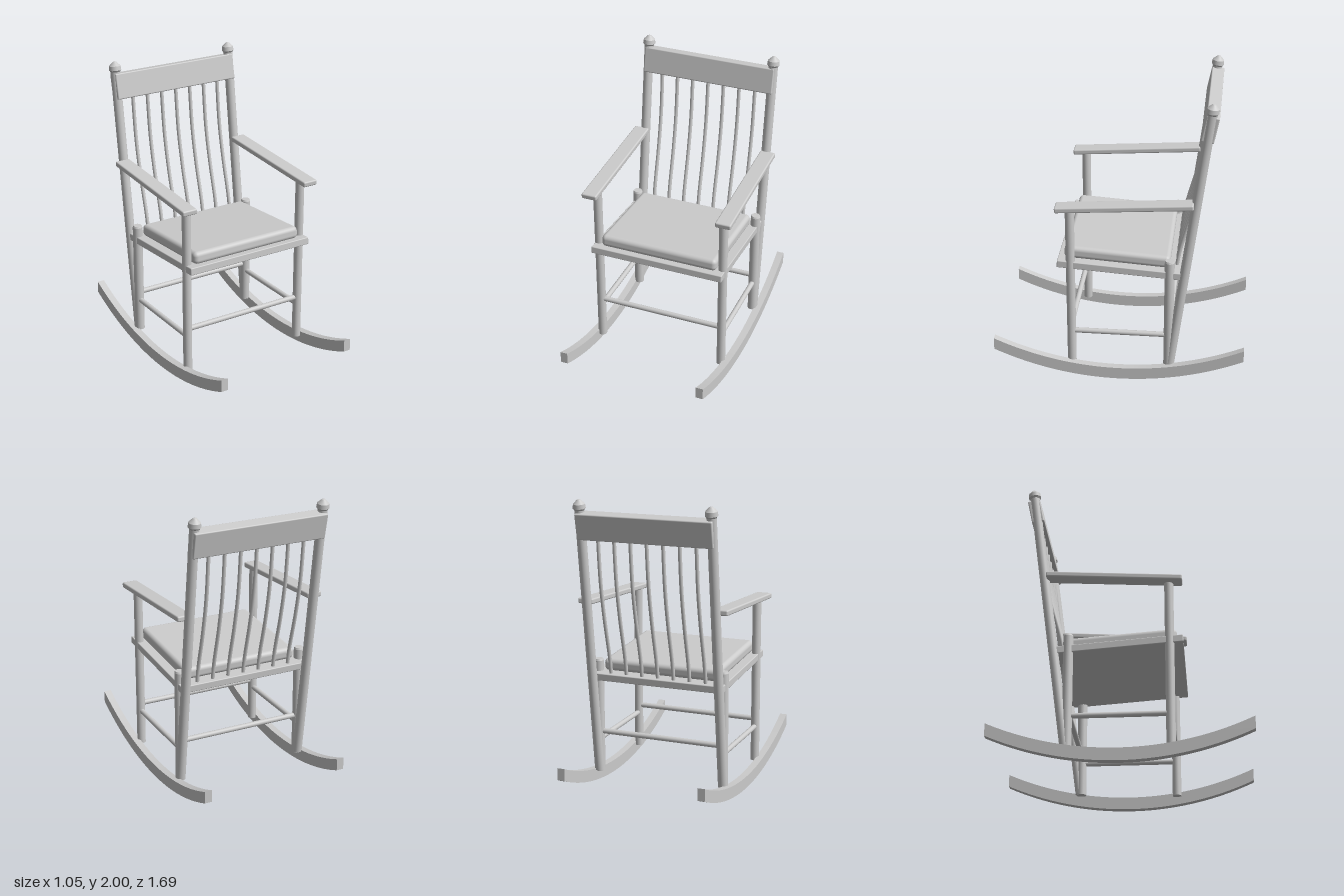
import * as THREE from 'three';
import { RoundedBoxGeometry } from 'three/addons/geometries/RoundedBoxGeometry.js';

const grey = new THREE.MeshStandardMaterial({ color: 0xcccccc });

export function createModel() {
  const chair = new THREE.Group();
  chair.name = 'rockingChair';

  const add = (name, geometry, x = 0, y = 0, z = 0, tilt = 0) => {
    const mesh = new THREE.Mesh(geometry, grey);
    mesh.name = name;
    mesh.position.set(x, y, z);
    mesh.rotation.x = tilt;
    chair.add(mesh);
    return mesh;
  };

  // Round bar running from point a to point b
  const rod = (name, a, b, r) => {
    const from = new THREE.Vector3(...a), to = new THREE.Vector3(...b);
    const dir = to.clone().sub(from);
    const mesh = add(name, new THREE.CylinderGeometry(r, r, dir.length(), 24));
    mesh.position.copy(from).add(to).multiplyScalar(0.5);
    mesh.quaternion.setFromUnitVectors(new THREE.Vector3(0, 1, 0), dir.normalize());
    return mesh;
  };

  // Rocker outline: two equal arcs, one above the other, with upright ends
  const R = 2.02, half = 0.845, thick = 0.083;
  const a = Math.asin(half / R);
  const outline = new THREE.Shape();
  outline.absarc(0, R, R, -Math.PI / 2 - a, -Math.PI / 2 + a, false);
  outline.absarc(0, R + thick, R, -Math.PI / 2 + a, -Math.PI / 2 - a, true);
  const rockerGeo = new THREE.ExtrudeGeometry(outline, { depth: 0.05, bevelEnabled: false, curveSegments: 32 });
  rockerGeo.translate(0, 0, -0.025).rotateY(Math.PI / 2);

  // Finial profile with a shallow cone on top
  const finialGeo = new THREE.LatheGeometry(
    [[0, -0.005], [0.034, -0.005], [0.034, 0], [0.042, 0.006], [0.042, 0.006], [0.039, 0.035],
      [0.039, 0.035], [0.012, 0.062], [0.012, 0.062], [0, 0.066]].map(p => new THREE.Vector2(...p)), 28);

  const postBottom = [0.11, -0.345], postTop = [1.94, -0.585];
  const lean = Math.atan2(postTop[1] - postBottom[1], postTop[0] - postBottom[0]);

  for (const [side, s] of [['left', 1], ['right', -1]]) {
    const x = 0.447 * s;
    add(side + 'Rocker', rockerGeo, 0.489 * s);
    rod(side + 'FrontLeg', [x, 0.08, 0.32], [x, 1.25, 0.32], 0.03);
    rod(side + 'RearLeg', [x, 0.1, -0.336], [x, 0.88, -0.336], 0.033);
    add(side + 'RearLegCap', new THREE.CylinderGeometry(0.028, 0.033, 0.012, 24), x, 0.886, -0.336);
    rod(side + 'BackPost', [0.45 * s, ...postBottom], [0.45 * s, ...postTop], 0.032);
    add(side + 'Finial', finialGeo, 0.45 * s, 1.933, -0.584, lean);
    add(side + 'Armrest', new RoundedBoxGeometry(0.107, 0.037, 0.897, 3, 0.01), 0.47 * s, 1.283, -0.038, 0.066);
    rod(side + 'SideStretcher', [x, 0.328, 0.32], [x, 0.328, -0.336], 0.018);
  }

  // Cross stretchers
  rod('frontStretcher', [-0.445, 0.383, 0.32], [0.445, 0.383, 0.32], 0.018);
  rod('rearStretcher', [-0.445, 0.383, -0.336], [0.445, 0.383, -0.336], 0.018);

  // Seat board and cushion, both sloping down to the back
  add('seat', new RoundedBoxGeometry(0.936, 0.05, 0.825, 2, 0.006), 0, 0.811, -0.003, -0.068);
  add('cushion', new RoundedBoxGeometry(0.824, 0.085, 0.705, 5, 0.03), 0, 0.874, 0.015, -0.068);

  // Top rail, leaning further back than the posts
  add('topRail', new RoundedBoxGeometry(0.934, 0.175, 0.085, 2, 0.008), 0, 1.828, -0.573, -0.2);

  // Bowed back spindles
  const bow = new THREE.CatmullRomCurve3(
    [[0.79, -0.375], [0.92, -0.397], [1.2, -0.47], [1.45, -0.52], [1.77, -0.553]]
      .map(([y, z]) => new THREE.Vector3(0, y, z)));
  const spindleGeo = new THREE.TubeGeometry(bow, 28, 0.0125, 12);
  for (let i = -3; i <= 3; i++) add('backSpindle', spindleGeo, i * 0.1127);

  return chair;
}
